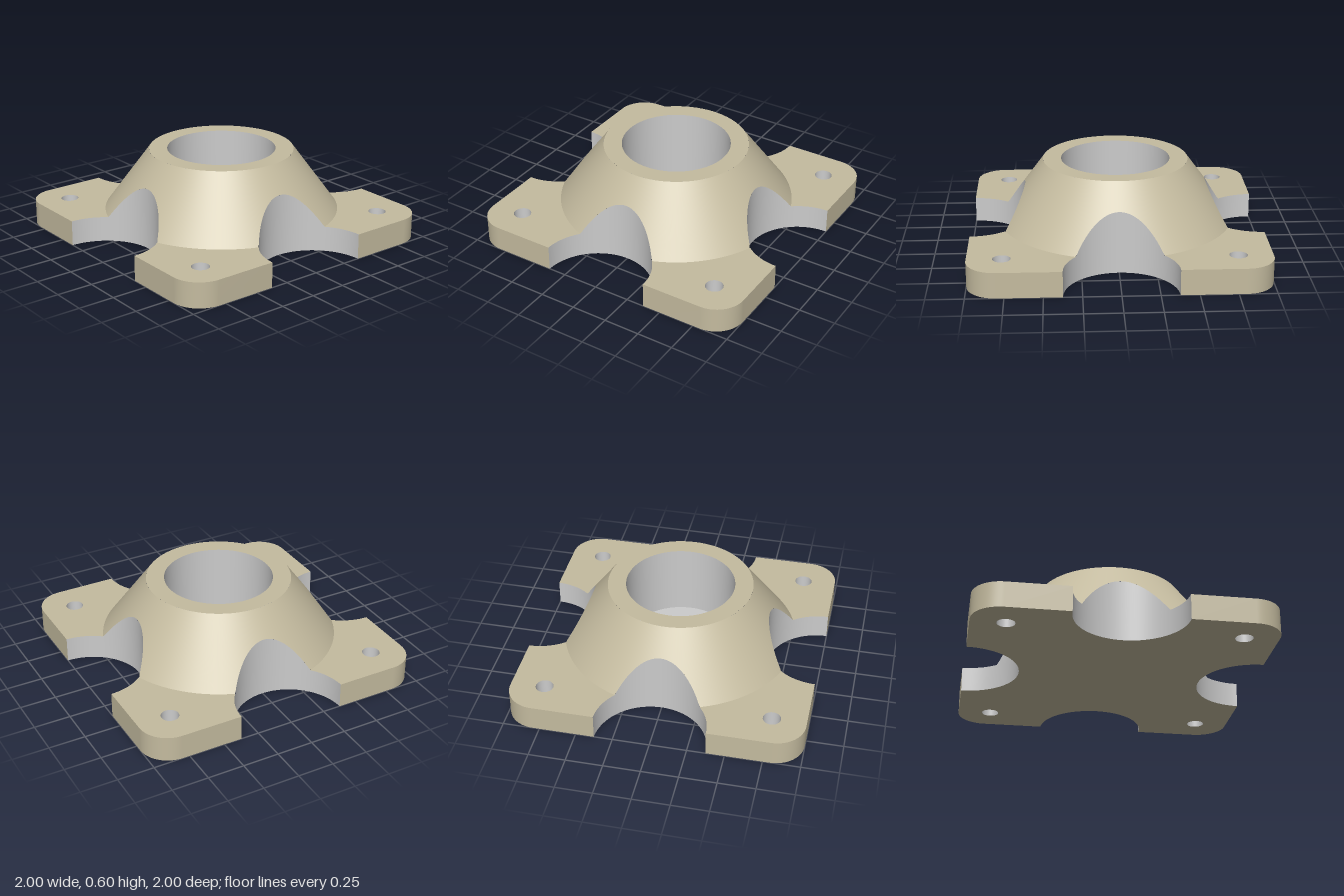
import * as THREE from 'three';

const PLATE = 0.175, TOP = 0.6, FLOOR = 0.1;      // heights
const CONE_R = 0.8125, RIM_R = 0.5, BORE_R = 0.375; // radii
const SCALLOP_R = 0.375, CORNER_R = 0.2, HOLE_R = 0.06, HOLE_AT = 0.77;

const tan = new THREE.MeshStandardMaterial({ color: 0xc4bb9f });
const grey = new THREE.MeshStandardMaterial({ color: 0xcccccc });

const coneHeight = r => TOP - (r - RIM_R) * (TOP - PLATE) / (CONE_R - RIM_R);

function named(name, geometry, material) {
  const mesh = new THREE.Mesh(geometry, material);
  mesh.name = name;
  return mesh;
}

function arc(cx, cy, r, a0, a1, n) {
  return Array.from({ length: n + 1 }, (_, i) => {
    const a = a0 + (a1 - a0) * i / n;
    return new THREE.Vector2(cx + r * Math.cos(a), cy + r * Math.sin(a));
  });
}

// Surface of revolution from [radius, height] pairs
function lathe(pairs, segments = 96) {
  return new THREE.LatheGeometry(pairs.map(p => new THREE.Vector2(...p)), segments);
}

// Upright wall along an (x, z) path, from the ground to topAt(point)
function wall(path, topAt) {
  const pos = [], index = [];
  path.forEach((p, i) => {
    pos.push(p.x, 0, p.y, p.x, topAt(p), p.y);
    if (i) {
      const a = 2 * i - 2;
      index.push(a, a + 2, a + 3, a, a + 3, a + 1);
    }
  });
  const g = new THREE.BufferGeometry();
  g.setAttribute('position', new THREE.Float32BufferAttribute(pos, 3));
  g.setIndex(index);
  g.computeVertexNormals();
  return g;
}

function flatShape(points, holes) {
  const shape = new THREE.Shape(points);
  holes.forEach(([x, y]) => shape.holes.push(new THREE.Path(arc(x, y, HOLE_R, 0, -2 * Math.PI, 32))));
  return new THREE.ShapeGeometry(shape);
}

export function createModel() {
  const group = new THREE.Group();
  group.name = 'flangedBase';

  // Angle from an axis where the cone foot meets a scallop, and the same point seen from the scallop centre
  const phi = Math.acos((CONE_R ** 2 + 1 - SCALLOP_R ** 2) / (2 * CONE_R));
  const meet = Math.atan2(CONE_R * Math.cos(phi) - 1, CONE_R * Math.sin(phi));

  // Outer edge of one corner, counter-clockwise
  const edge = [
    new THREE.Vector2(1, SCALLOP_R),
    ...arc(1 - CORNER_R, 1 - CORNER_R, CORNER_R, 0, Math.PI / 2, 16),
    new THREE.Vector2(SCALLOP_R, 1),
  ];
  const cornerTop = flatShape([
    ...edge,
    ...arc(0, 1, SCALLOP_R, 0, meet, 16).slice(1),
    ...arc(0, 0, CONE_R, Math.PI / 2 - phi, phi, 32).slice(1),
    ...arc(1, 0, SCALLOP_R, Math.PI / 2 - meet, Math.PI / 2, 16).slice(1, -1),
  ], [[HOLE_AT, HOLE_AT]]).rotateX(-Math.PI / 2).translate(0, PLATE, 0);
  const cornerSide = wall([...edge].reverse(), () => PLATE);
  const scallopWall = wall(arc(0, 1, SCALLOP_R, Math.PI, 2 * Math.PI, 96),
    p => Math.max(PLATE, coneHeight(p.length())));
  const boltHole = lathe([[HOLE_R, PLATE], [HOLE_R, 0]], 32).translate(HOLE_AT, 0, HOLE_AT);

  // Four matching quarters of the plate
  const outline = [], holes = [];
  for (let i = 0; i < 4; i++) {
    const a = i * Math.PI / 2, origin = new THREE.Vector2();
    const quarter = new THREE.Group();
    quarter.name = 'plateQuarter' + (i + 1);
    quarter.rotation.y = a;
    const top = named('cornerTop', cornerTop, tan);
    top.rotation.y = Math.PI / 2;
    quarter.add(top,
      named('cornerSide', cornerSide, tan),
      named('scallopWall', scallopWall, grey),
      named('boltHole', boltHole, grey));
    group.add(quarter);
    [...edge, ...arc(0, 1, SCALLOP_R, 0, -Math.PI, 96).slice(1, -1)]
      .forEach(p => outline.push(p.clone().rotateAround(origin, a)));
    holes.push(new THREE.Vector2(HOLE_AT, HOLE_AT).rotateAround(origin, a).toArray());
  }
  group.add(named('plateBottom', flatShape(outline, holes).rotateX(Math.PI / 2), tan));

  // Conical boss: the foot slides up the cone wherever a scallop cuts it
  const cone = lathe([[CONE_R, PLATE], [RIM_R, TOP]], 720);
  const pos = cone.attributes.position;
  for (let i = 0; i < pos.count; i++) {
    if (pos.getY(i) > PLATE + 0.01) continue;
    const x = pos.getX(i), z = pos.getZ(i);
    const s = Math.min(Math.abs(x), Math.abs(z)) / CONE_R;
    const cut = SCALLOP_R ** 2 - s * s;
    const r = cut > 0 ? Math.min(CONE_R, Math.sqrt(1 - s * s) - Math.sqrt(cut)) : CONE_R;
    pos.setXYZ(i, x * r / CONE_R, coneHeight(r), z * r / CONE_R);
  }
  group.add(named('coneBoss', cone, tan));

  // Rim and blind bore
  group.add(
    named('rim', lathe([[RIM_R, TOP], [BORE_R, TOP]]), tan),
    named('boreWall', lathe([[BORE_R, TOP], [BORE_R, FLOOR]]), grey),
    named('boreFloor', lathe([[BORE_R, FLOOR], [0, FLOOR]]), grey));
  return group;
}
